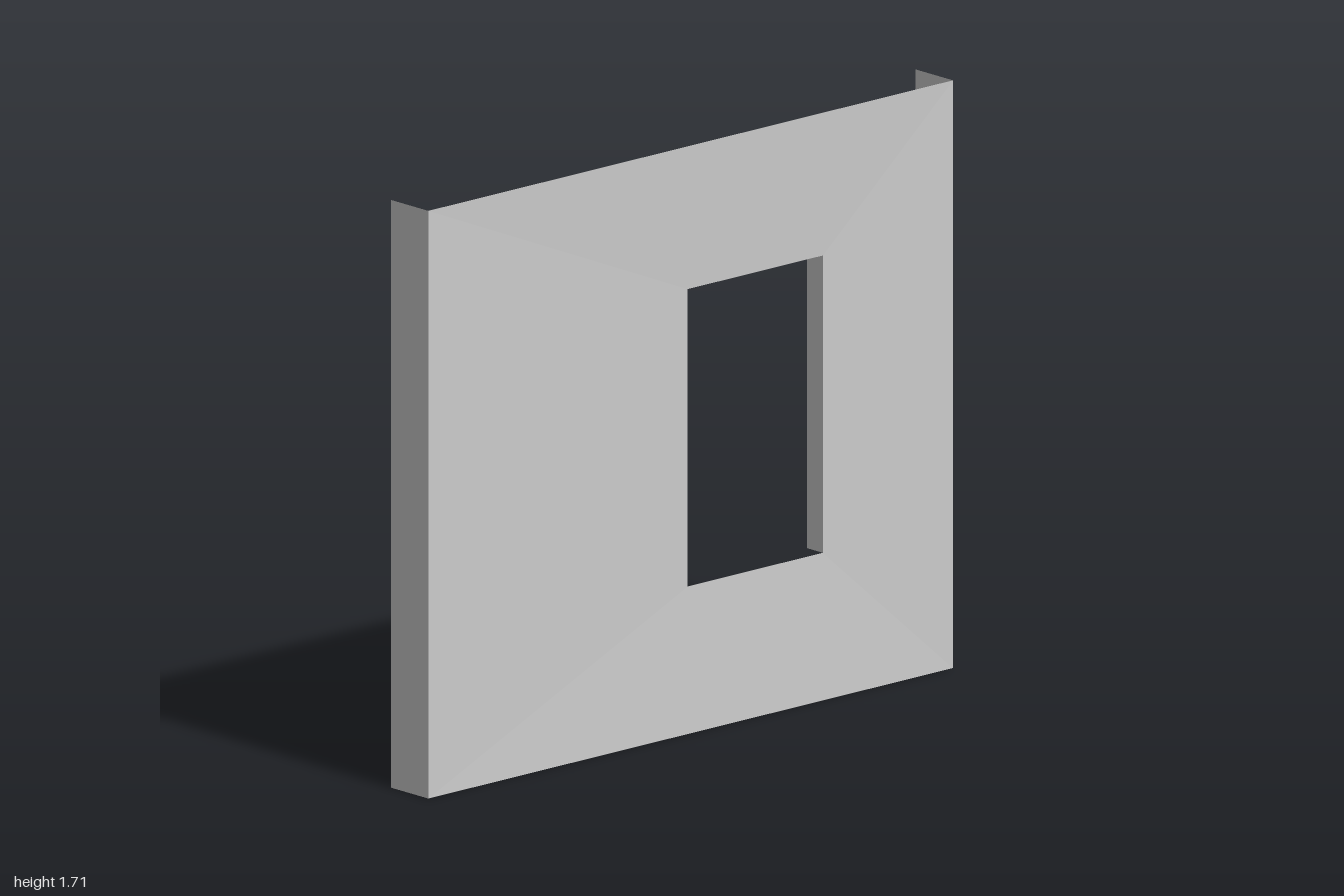
import * as THREE from 'three';

const H = 1.71;                                   // wall height
const FRONT = 0.077, BACK = -0.077;               // outer face and flange depth
const RIM = 0.065, REVEAL = 0;                    // face at the opening, back of the reveal
const X0 = 0, X1 = 0.515, Y0 = 0.425, Y1 = 1.29;  // window opening

const material = new THREE.MeshStandardMaterial({ color: 0xcccccc, side: THREE.DoubleSide, flatShading: true });

// Four corners of a rectangle at depth z, counter-clockwise from the front
const loop = (x0, x1, y0, y1, z) => [[x0, y0, z], [x1, y0, z], [x1, y1, z], [x0, y1, z]];

// Thin sheet joining two loops along the chosen sides (0 bottom, 1 left, 2 top, 3 right)
function sheet(name, outer, inner, sides) {
  const points = [];
  for (const i of sides) {
    const j = (i + 1) % 4;
    points.push(outer[i], outer[j], inner[j], outer[i], inner[j], inner[i]);
  }
  const geometry = new THREE.BufferGeometry();
  geometry.setAttribute('position', new THREE.Float32BufferAttribute(points.flat(), 3));
  geometry.computeVertexNormals();
  const mesh = new THREE.Mesh(geometry, material);
  mesh.name = name;
  return mesh;
}

export function createModel() {
  const group = new THREE.Group();
  group.name = 'wallPanel';
  const edge = loop(-1, 1, 0, H, FRONT);
  const rim = loop(X0, X1, Y0, Y1, RIM);

  // Wall face, sloping very slightly in towards the opening
  group.add(sheet('wallFace', edge, rim, [0, 1, 2, 3]));

  // End flanges folded back over the full height
  const flangeBack = loop(-1, 1, 0, H, BACK);
  group.add(sheet('leftFlange', flangeBack, edge, [1]));
  group.add(sheet('rightFlange', flangeBack, edge, [3]));

  // Window reveal: jambs and lintel, with no sill
  const revealBack = loop(X0, X1, Y0, Y1, REVEAL);
  group.add(sheet('leftJamb', rim, revealBack, [1]));
  group.add(sheet('lintel', rim, revealBack, [2]));
  group.add(sheet('rightJamb', rim, revealBack, [3]));
  return group;
}
